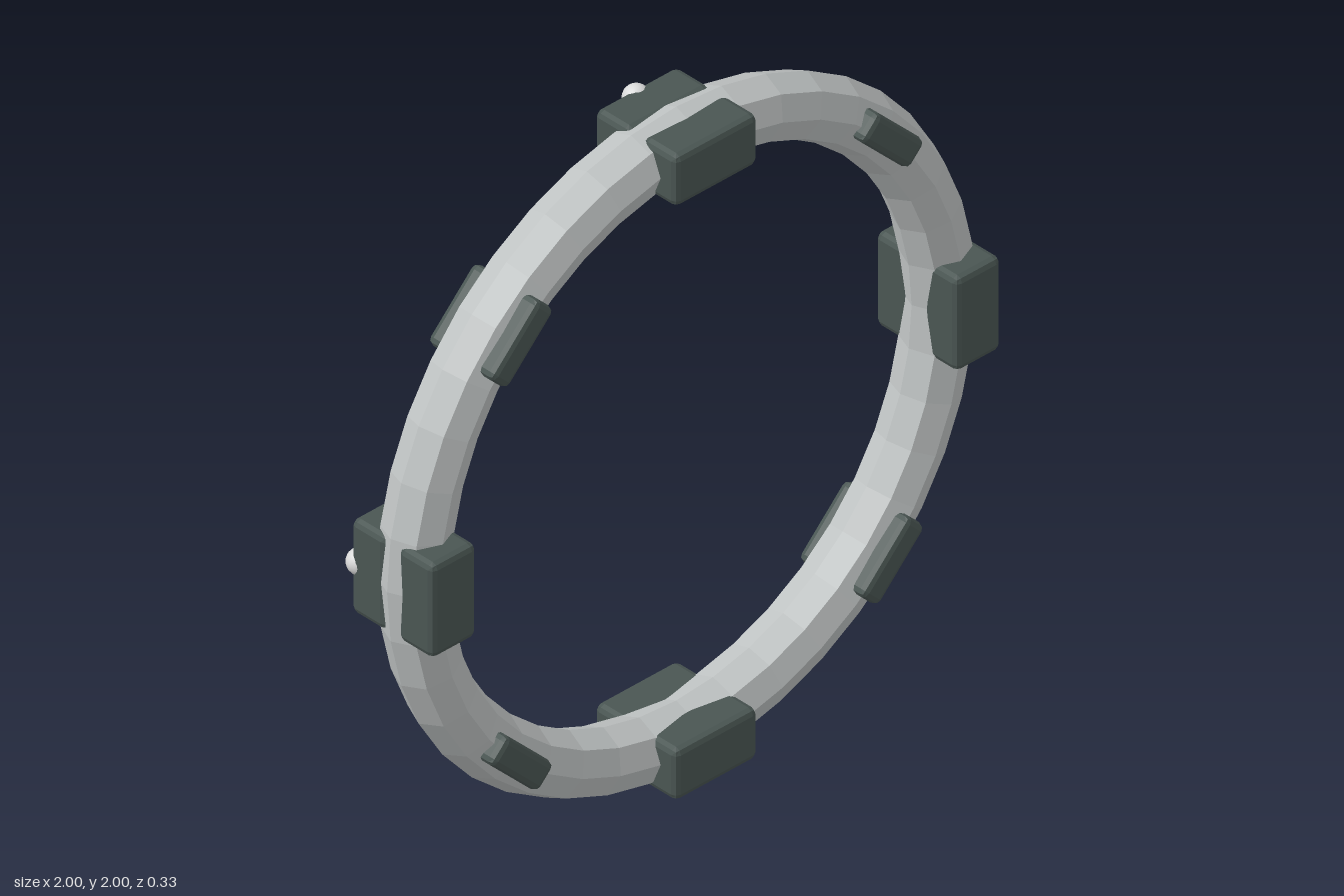
import * as THREE from 'three';
import { RoundedBoxGeometry } from 'three/addons/geometries/RoundedBoxGeometry.js';

const RING_Z = 0.017;   // plane of the ring, slightly forward of centre
const RING_R = 0.907;
const TUBE_R = 0.093;

export function createModel() {
  const model = new THREE.Group();
  model.name = 'ringStation';

  const material = (name, color) => {
    const m = new THREE.MeshStandardMaterial({ color, flatShading: name !== 'lampWhite' });
    m.name = name;
    return m;
  };
  const ringGrey = material('ringGrey', 0xbfc3c3);
  const blockGreen = material('blockGreen', 0x4a5653);
  const lampWhite = material('lampWhite', 0xdadada);

  const add = (parent, name, geometry, mat, x, y, z) => {
    const mesh = new THREE.Mesh(geometry, mat);
    mesh.name = name;
    mesh.position.set(x, y, z);
    parent.add(mesh);
    return mesh;
  };

  // Eight-sided tube bent into the main ring
  add(model, 'ring', new THREE.TorusGeometry(RING_R, TUBE_R, 8, 40), ringGrey, 0, 1, RING_Z);

  // Chamfered blocks: large upright ones on the axes, slim ones on the diagonals
  const wide = new RoundedBoxGeometry(0.285, 0.155, 0.125, 1, 0.018);
  const tall = new RoundedBoxGeometry(0.155, 0.285, 0.125, 1, 0.018);
  const slim = new RoundedBoxGeometry(0.235, 0.085, 0.09, 1, 0.018);
  const lamp = new THREE.SphereGeometry(0.037, 16, 12);

  for (let i = 0; i < 8; i++) {
    const angle = (i * Math.PI) / 4;
    const cos = Math.cos(angle);
    const sin = Math.sin(angle);
    const large = i % 2 === 0;
    const offset = large ? 0.0855 : 0.075;

    for (const side of [1, -1]) {
      const geometry = large ? (i % 4 === 0 ? tall : wide) : slim;
      const block = add(model, (side > 0 ? 'front' : 'back') + (large ? 'Block' : 'Clamp'),
        geometry, blockGreen, RING_R * cos, 1 + RING_R * sin, RING_Z + side * offset);
      if (!large) block.rotation.z = angle + Math.PI / 2;
    }

    // Round lamp on the back of each large block
    if (large) add(model, 'lamp', lamp, lampWhite, 0.955 * cos, 1 + 0.955 * sin, -0.128);
  }

  return model;
}
